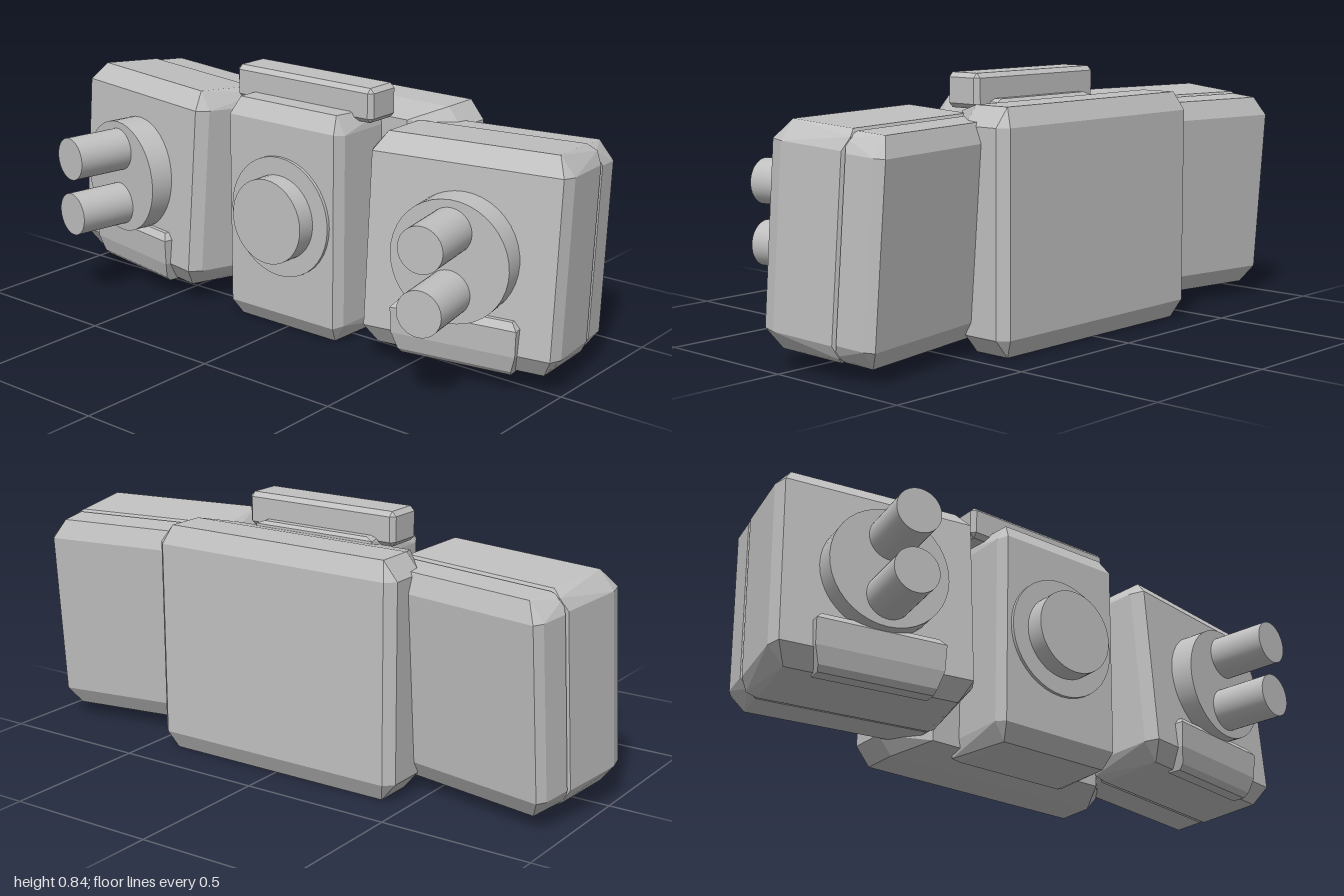
import * as THREE from 'three';
import { ConvexGeometry } from 'three/addons/geometries/ConvexGeometry.js';

const grey = new THREE.MeshStandardMaterial({ color: 0xc0c0c0 });
grey.name = 'grey';

function addMesh(parent, name, geometry, x = 0, y = 0, z = 0) {
  const mesh = new THREE.Mesh(geometry, grey);
  mesh.name = name;
  mesh.position.set(x, y, z);
  parent.add(mesh);
  return mesh;
}

// Bevelled block with half width w and half height h, running from z0 to z1.
// edge: [x, y] bevel along the length; back, front: [x, y, z] insets of the end faces.
function block(w, h, z0, z1, edge, back, front) {
  const points = [];
  const add = (x, y, z) => {
    for (const sx of [-1, 1]) for (const sy of [-1, 1]) points.push(new THREE.Vector3(sx * x, sy * y, z));
  };
  for (const z of [z0 + back[2], z1 - front[2]]) {
    add(w, h - edge[1], z);
    add(w - edge[0], h, z);
  }
  add(w - back[0], h - back[1], z0);
  add(w - front[0], h - front[1], z1);
  return new ConvexGeometry(points);
}

// Round part pointing along z, from z0 to z1
function disc(r, z0, z1) {
  return new THREE.CylinderGeometry(r, r, z1 - z0, 40).rotateX(Math.PI / 2).translate(0, 0, (z0 + z1) / 2);
}

function createPod(side) {
  const pod = new THREE.Group();
  pod.name = side > 0 ? 'leftPod' : 'rightPod';
  pod.position.x = side * 0.665;
  pod.rotation.y = side * THREE.MathUtils.degToRad(10);

  // Body leans slightly backwards, in two sections with a groove between
  const body = new THREE.Group();
  body.name = 'podBody';
  body.position.y = 0.4;
  body.rotation.x = THREE.MathUtils.degToRad(-4.5);
  pod.add(body);
  addMesh(body, 'podFrontSection',
    block(0.33, 0.34, -0.18, 0.097, [0.05, 0.06], [0.02, 0.02, 0.015], [0.018, 0.06, 0.045]));
  addMesh(body, 'podBackSection',
    block(0.33, 0.335, -0.308, -0.165, [0.05, 0.06], [0.015, 0.06, 0.03], [0.02, 0.02, 0.015]));

  // Mounting disc with two barrels
  addMesh(pod, 'barrelDisc', disc(0.195, 0.06, 0.176), 0, 0.41, 0);
  for (const y of [0.508, 0.312]) addMesh(pod, 'barrel', disc(0.073, 0.15, 0.376), 0, y, 0);

  // Wedge plate below the disc
  const rows = [[0.19, 0.237, 0.125], [0.21, 0.215, 0.142], [0.207, 0.13, 0.137], [0.19, 0.075, 0.122], [0.185, 0.058, 0.105]];
  const points = [];
  for (const [x, y, z] of rows) {
    for (const s of [-1, 1]) points.push(new THREE.Vector3(s * x, y, z), new THREE.Vector3(s * x, y, 0.06));
  }
  addMesh(pod, 'lowerPlate', new ConvexGeometry(points));
  return pod;
}

export function createModel() {
  const model = new THREE.Group();
  model.name = 'podAssembly';

  // Central body
  addMesh(model, 'rearBlock',
    block(0.455, 0.38, -0.387, -0.1, [0.05, 0.06], [0.03, 0.06, 0.03], [0.12, 0.03, 0.13]), 0, 0.38, 0);
  addMesh(model, 'frontBlock',
    block(0.235, 0.38, -0.15, 0.125, [0.035, 0.06], [0.01, 0.01, 0.01], [0.018, 0.055, 0.035]), 0, 0.38, 0);
  addMesh(model, 'topBar',
    block(0.283, 0.056, -0.115, 0.02, [0.015, 0.015], [0.015, 0.015, 0.015], [0.015, 0.015, 0.015]), 0, 0.786, 0);

  // Round front boss
  addMesh(model, 'frontDisc', disc(0.202, 0.08, 0.136), 0, 0.395, 0);
  addMesh(model, 'frontHub', disc(0.142, 0.1, 0.2), 0, 0.395, 0);

  for (const side of [-1, 1]) model.add(createPod(side));
  return model;
}
